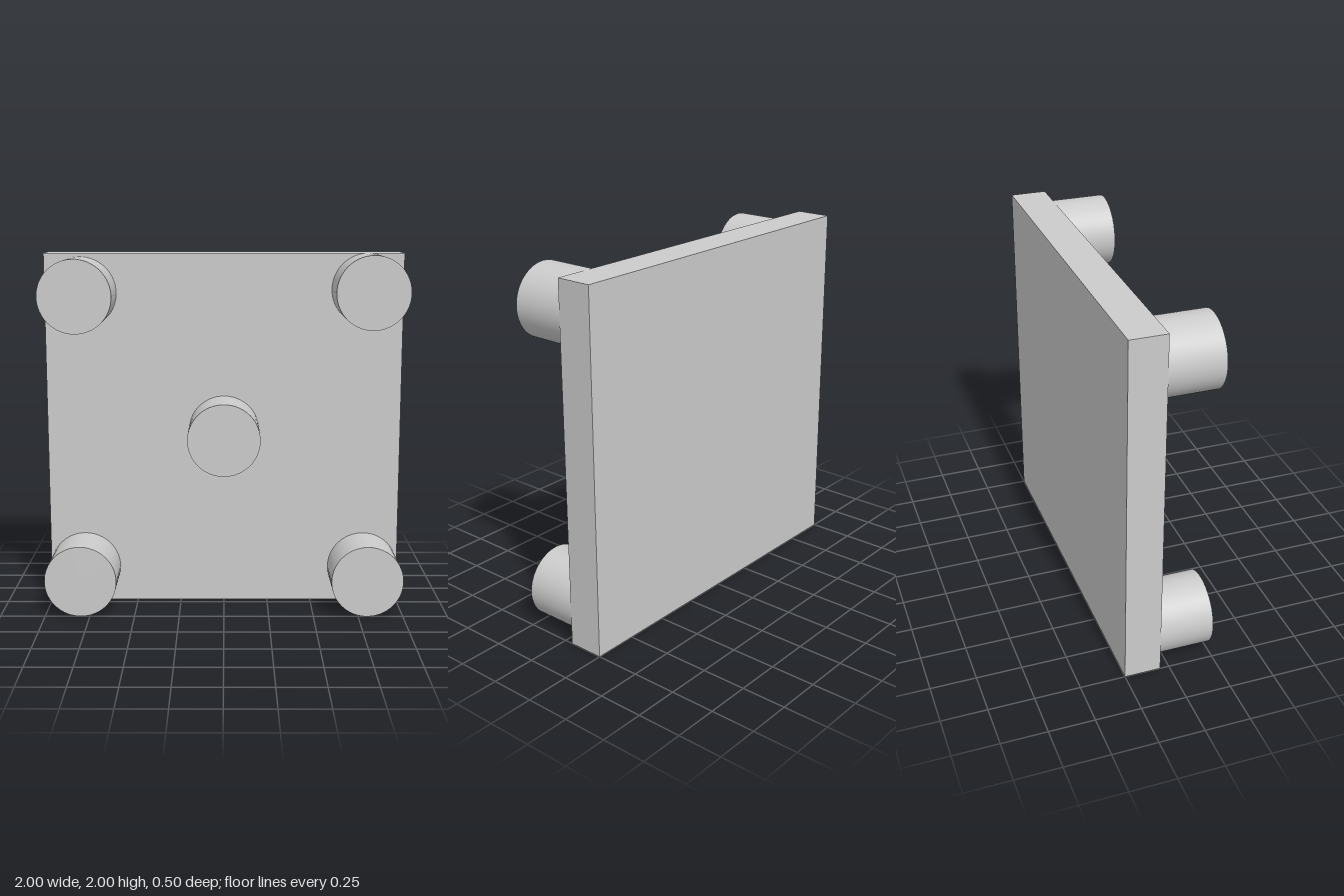
import * as THREE from 'three';

export function createModel() {
  const model = new THREE.Group();
  const material = new THREE.MeshStandardMaterial({ color: 0xcccccc });

  // Square upright plate
  const plate = new THREE.Mesh(new THREE.BoxGeometry(2, 2, 0.2), material);
  plate.name = 'plate';
  plate.position.set(0, 1, -0.15);
  model.add(plate);

  // Round pegs on the front face, axis along z
  const pegGeometry = new THREE.CylinderGeometry(0.2, 0.2, 0.3, 64).rotateX(Math.PI / 2);
  const pegs = [
    ['centrePeg', 0, 1],
    ['lowerLeftPeg', 0.8, 0.2],
    ['lowerRightPeg', -0.8, 0.2],
    ['upperLeftPeg', 0.8, 1.8],
    ['upperRightPeg', -0.8, 1.78], // sits slightly lower than its pair
  ];
  for (const [name, x, y] of pegs) {
    const peg = new THREE.Mesh(pegGeometry, material);
    peg.name = name;
    peg.position.set(x, y, 0.1);
    model.add(peg);
  }
  return model;
}
